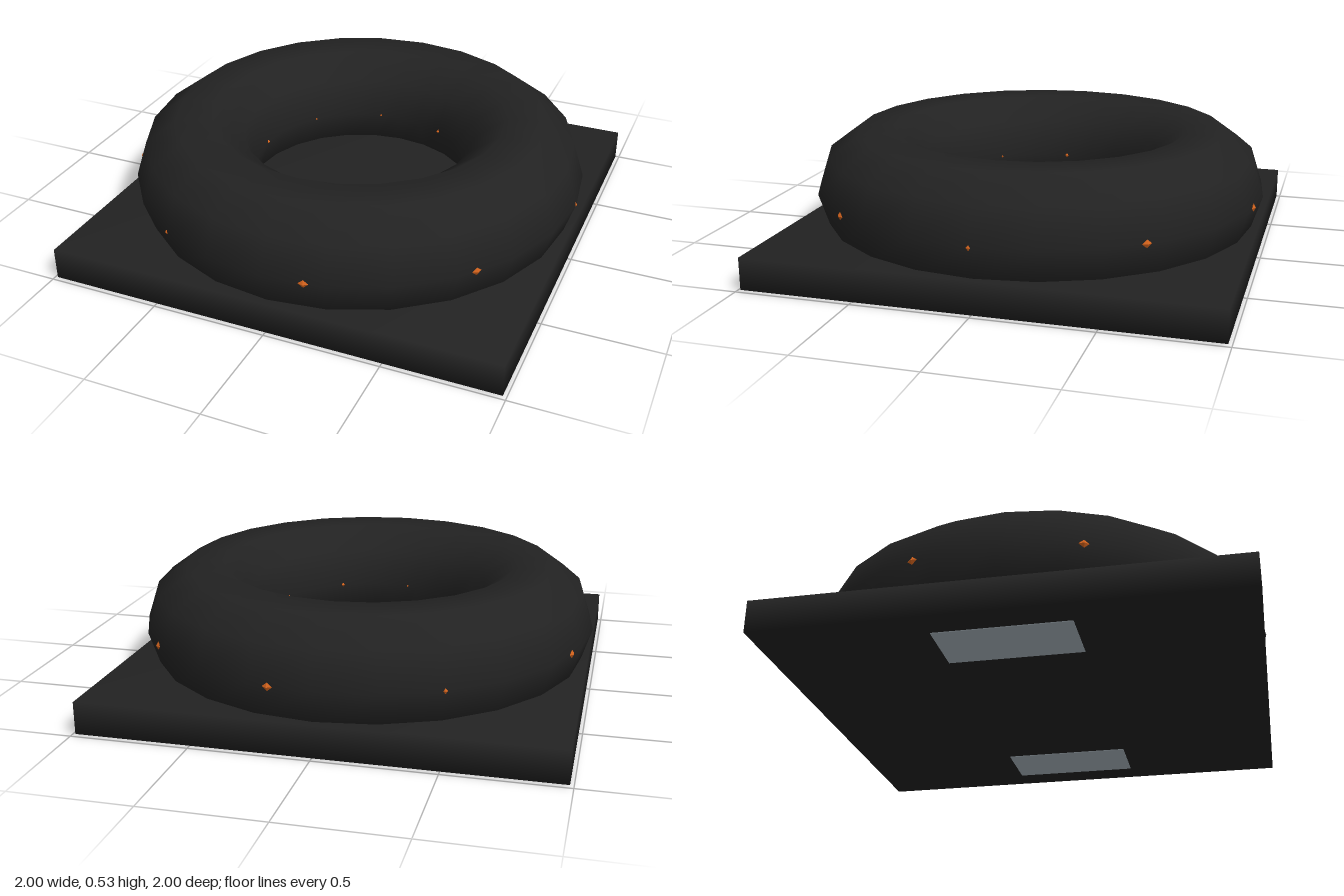
import * as THREE from 'three';
import { mergeVertices } from 'three/addons/utils/BufferGeometryUtils.js';

const black = new THREE.MeshStandardMaterial({ name: 'black rubber', color: 0x222222 });
const steel = new THREE.MeshStandardMaterial({ name: 'pale steel', color: 0xa8b4bc });
const orange = new THREE.MeshStandardMaterial({ name: 'orange', color: 0xd2621c });

// Box whose corner normals are shared, so its shading runs softly round the edges
function softBox(w, h, d) {
  const box = new THREE.BoxGeometry(w, h, d);
  box.deleteAttribute('normal');
  box.deleteAttribute('uv');
  const merged = mergeVertices(box);
  merged.computeVertexNormals();
  return merged;
}

export function createModel() {
  const model = new THREE.Group();
  model.name = 'ringOnBase';

  function add(name, geometry, material, x, y, z) {
    const mesh = new THREE.Mesh(geometry, material);
    mesh.name = name;
    mesh.position.set(x, y, z);
    model.add(mesh);
    return mesh;
  }

  // Square base plate
  add('base', softBox(1.97, 0.138, 1.97), black, 0, 0.074, 0);

  // Thick ring sunk into the base
  const ring = new THREE.TorusGeometry(0.731, 0.267, 10, 24);
  ring.rotateX(-Math.PI / 2);
  add('ring', ring, black, 0, 0.28, 0);

  // Two steel contact pads under the base
  for (const side of [-1, 1]) {
    add(side > 0 ? 'leftPad' : 'rightPad', softBox(0.275, 0.02, 0.56), steel, side * 0.705, 0.01, 0);
  }

  // Orange studs: nine outside the ring, nine inside, staggered
  const stud = new THREE.OctahedronGeometry(1);
  function addStuds(name, radius, offset, size) {
    for (let i = 0; i < 9; i++) {
      const a = offset + (i * Math.PI * 2) / 9;
      const mesh = add(name, stud, orange, Math.cos(a) * radius, 0.28, Math.sin(a) * radius);
      mesh.rotation.y = -a;
      mesh.scale.set(0.01, size * 0.8, size);
    }
  }
  addStuds('outerStud', 0.991, 0, 0.022);
  addStuds('innerStud', 0.466, Math.PI / 9, 0.012);

  return model;
}
